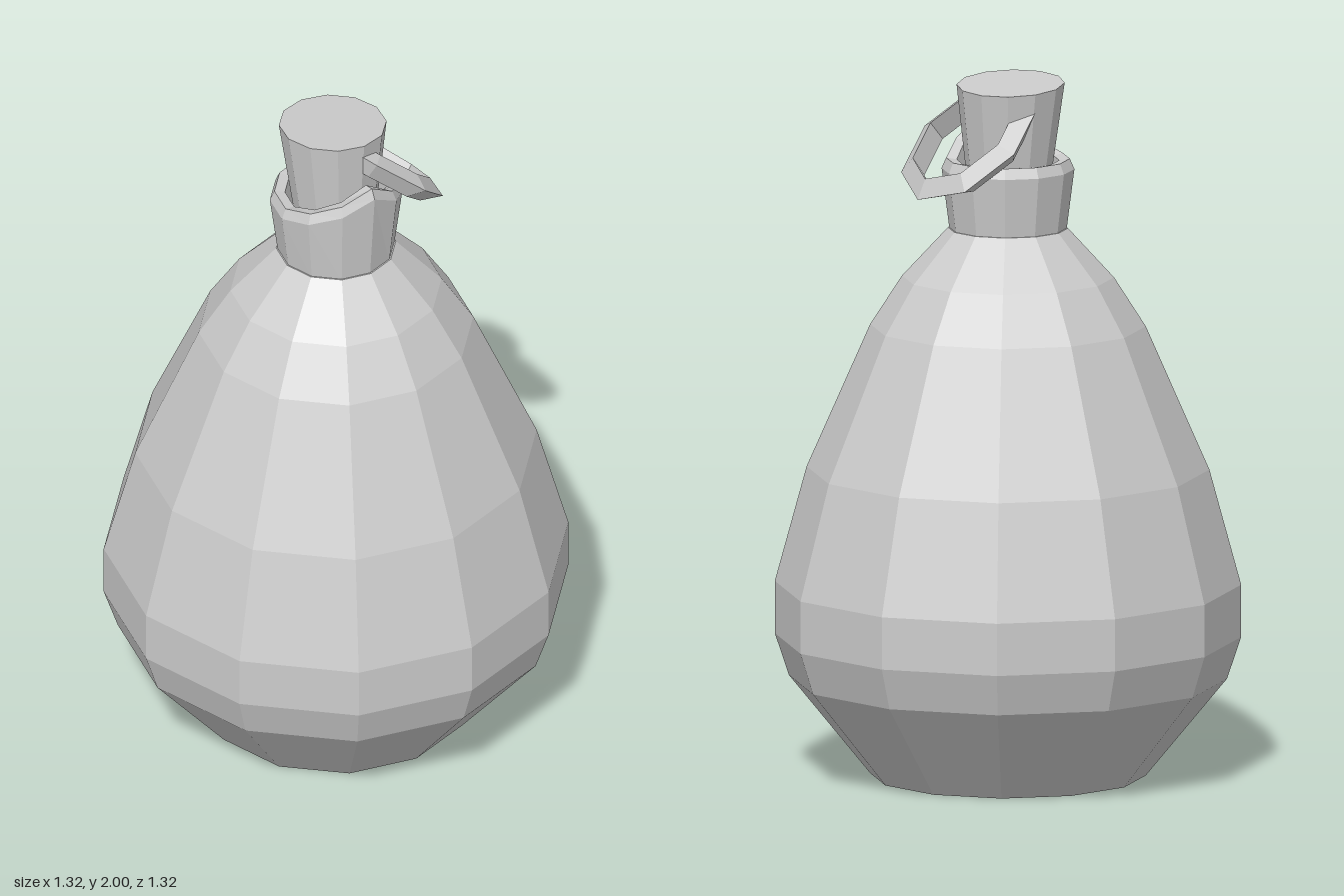
import * as THREE from 'three';

const material = new THREE.MeshStandardMaterial({ color: 0xcccccc, flatShading: true });

function lathe(name, profile, sides) {
  const points = profile.map(([r, y]) => new THREE.Vector2(r, y));
  const mesh = new THREE.Mesh(new THREE.LatheGeometry(points, sides), material);
  mesh.name = name;
  return mesh;
}

// Moves every vertex of a mesh by a rule
function reshape(mesh, rule) {
  const pos = mesh.geometry.attributes.position;
  const v = new THREE.Vector3();
  for (let i = 0; i < pos.count; i++) {
    rule(v.fromBufferAttribute(pos, i));
    pos.setXYZ(i, v.x, v.y, v.z);
  }
  mesh.geometry.computeVertexNormals();
  return mesh;
}

export function createModel() {
  const group = new THREE.Group();
  group.name = 'flask';

  // Twelve-sided pear-shaped body
  group.add(lathe('body', [
    [0, 0], [0.39, 0], [0.62, 0.28], [0.66, 0.4], [0.66, 0.55],
    [0.57, 0.88], [0.39, 1.29], [0.3, 1.43], [0.17, 1.57], [0, 1.57],
  ], 12));

  // Neck with a bevelled rim that rises to a peak on the +x side
  const neck = lathe('neck', [
    [0.165, 1.56], [0.188, 1.74], [0.175, 1.77], [0.145, 1.765], [0.12, 1.58],
  ], 12);
  group.add(reshape(neck, (v) => {
    if (v.y < 1.6) return;
    const a = Math.atan2(v.z, v.x);
    const span = a >= -0.001 ? Math.PI / 2 : Math.PI / 3;
    v.y += 0.1 * Math.pow(Math.max(0, 1 - Math.abs(a) / span), 1.3);
  }));

  // Tapered stopper, leaning a little with a slanted top
  const stopper = lathe('stopper', [[0, 1.6], [0.105, 1.6], [0.153, 1.987], [0, 1.987]], 12);
  group.add(reshape(stopper, (v) => {
    const t = (v.y - 1.6) / 0.387;
    v.y += t * (0.06 * v.x + 0.06 * v.z);
    v.x -= 0.016 * t;
  }));

  // Eight-sided pull ring, tilted back and passing through the stopper
  const ring = lathe('pullRing', [
    [0.175, 0.035], [0.182, -0.035], [0.232, 0.008], [0.175, 0.035],
  ], 8);
  ring.geometry.rotateY(0.09);
  ring.quaternion.setFromUnitVectors(
    new THREE.Vector3(0, 1, 0),
    new THREE.Vector3(-0.12, 1, -0.9).normalize(),
  );
  ring.position.set(0.005, 1.825, -0.115);
  group.add(ring);

  return group;
}
